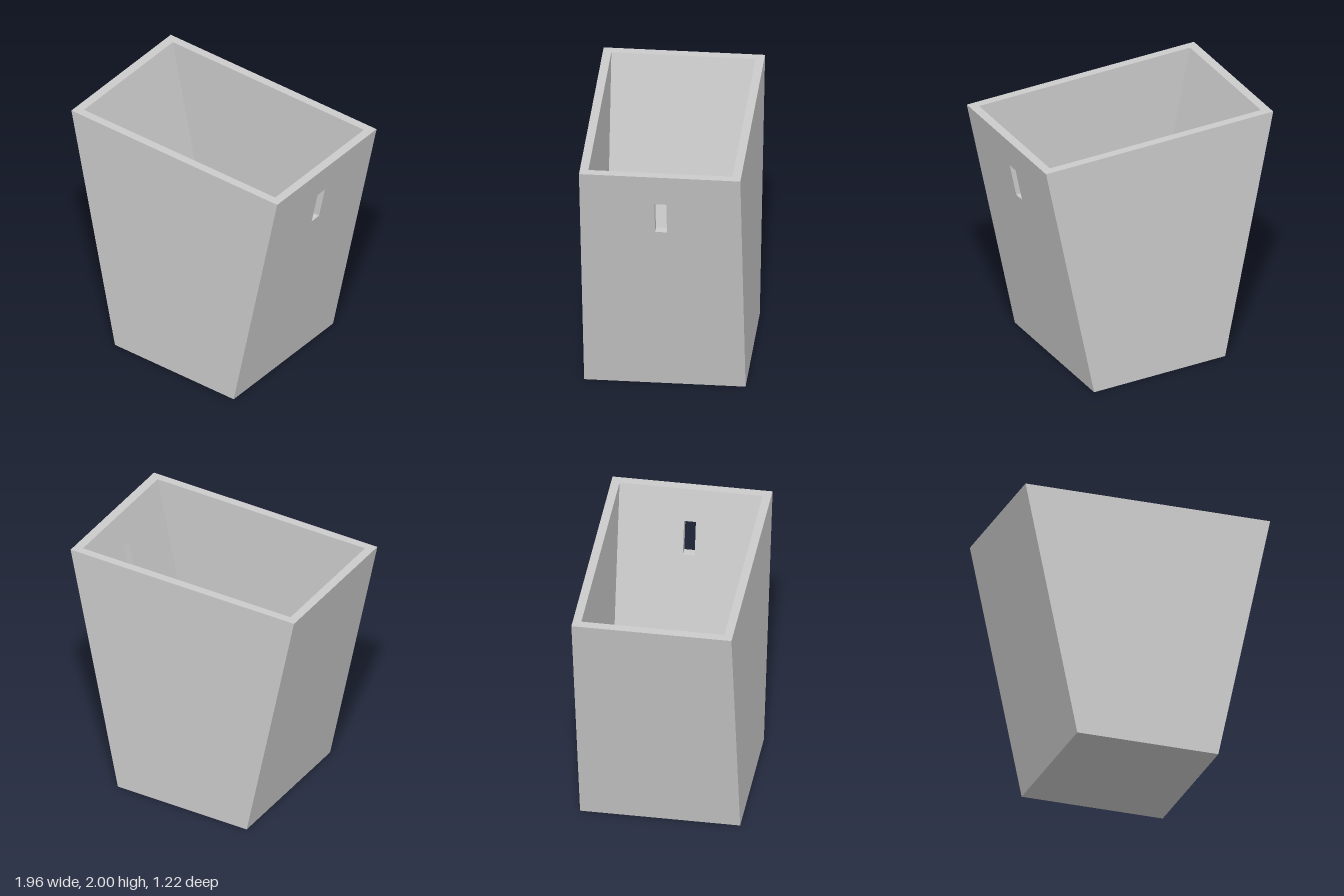
import * as THREE from 'three';

const HEIGHT = 2, BOTTOM = 0.565, TOP = 0.98;   // outer half widths in x
const DEPTH = 0.61, WALL_Z = 0.065, WALL_X = 0.07, FLOOR = 0.12;
const INNER_Z = DEPTH - WALL_Z;

const outerX = (y) => BOTTOM + (TOP - BOTTOM) * y / HEIGHT;

function polygon(points, Type = THREE.Shape) {
  return new Type(points.map(([x, y]) => new THREE.Vector2(x, y)));
}

function rectangle(halfWidth, y0, y1, Type) {
  return polygon([[-halfWidth, y0], [halfWidth, y0], [halfWidth, y1], [-halfWidth, y1]], Type);
}

function extrude(shape, depth) {
  return new THREE.ExtrudeGeometry(shape, { depth, bevelEnabled: false });
}

// Symmetric trapezoid between two heights, set in from the outer slope
function trapezoid(y0, y1, inset) {
  const a = outerX(y0) - inset, b = outerX(y1) - inset;
  return polygon([[-a, y0], [a, y0], [b, y1], [-b, y1]]);
}

// Upright panel sheared outwards to follow the slope, with an optional hand slot
function sideWall(withSlot) {
  const shape = rectangle(INNER_Z, 0, HEIGHT);
  if (withSlot) shape.holes.push(rectangle(0.045, 1.47, 1.74, THREE.Path));
  const geometry = extrude(shape, WALL_X).rotateY(Math.PI / 2);
  const pos = geometry.attributes.position;
  for (let i = 0; i < pos.count; i++) {
    pos.setX(i, pos.getX(i) + outerX(pos.getY(i)) - WALL_X);
  }
  geometry.computeVertexNormals();
  return geometry;
}

export function createModel() {
  const bin = new THREE.Group();
  bin.name = 'bin';
  const material = new THREE.MeshStandardMaterial({ color: 0xcccccc, flatShading: true });

  const add = (name, geometry) => {
    const mesh = new THREE.Mesh(geometry, material);
    mesh.name = name;
    bin.add(mesh);
  };

  // Front and back panels
  add('frontWall', extrude(trapezoid(0, HEIGHT, 0), WALL_Z).translate(0, 0, INNER_Z));
  add('backWall', extrude(trapezoid(0, HEIGHT, 0), WALL_Z).translate(0, 0, -DEPTH));

  // Sloping sides, only one of them with a hand slot
  add('leftWallWithSlot', sideWall(true));
  add('rightWall', sideWall(false).rotateY(Math.PI));

  // Floor between the walls
  add('floor', extrude(trapezoid(0, FLOOR, WALL_X), 2 * INNER_Z).translate(0, 0, -INNER_Z));

  return bin;
}
